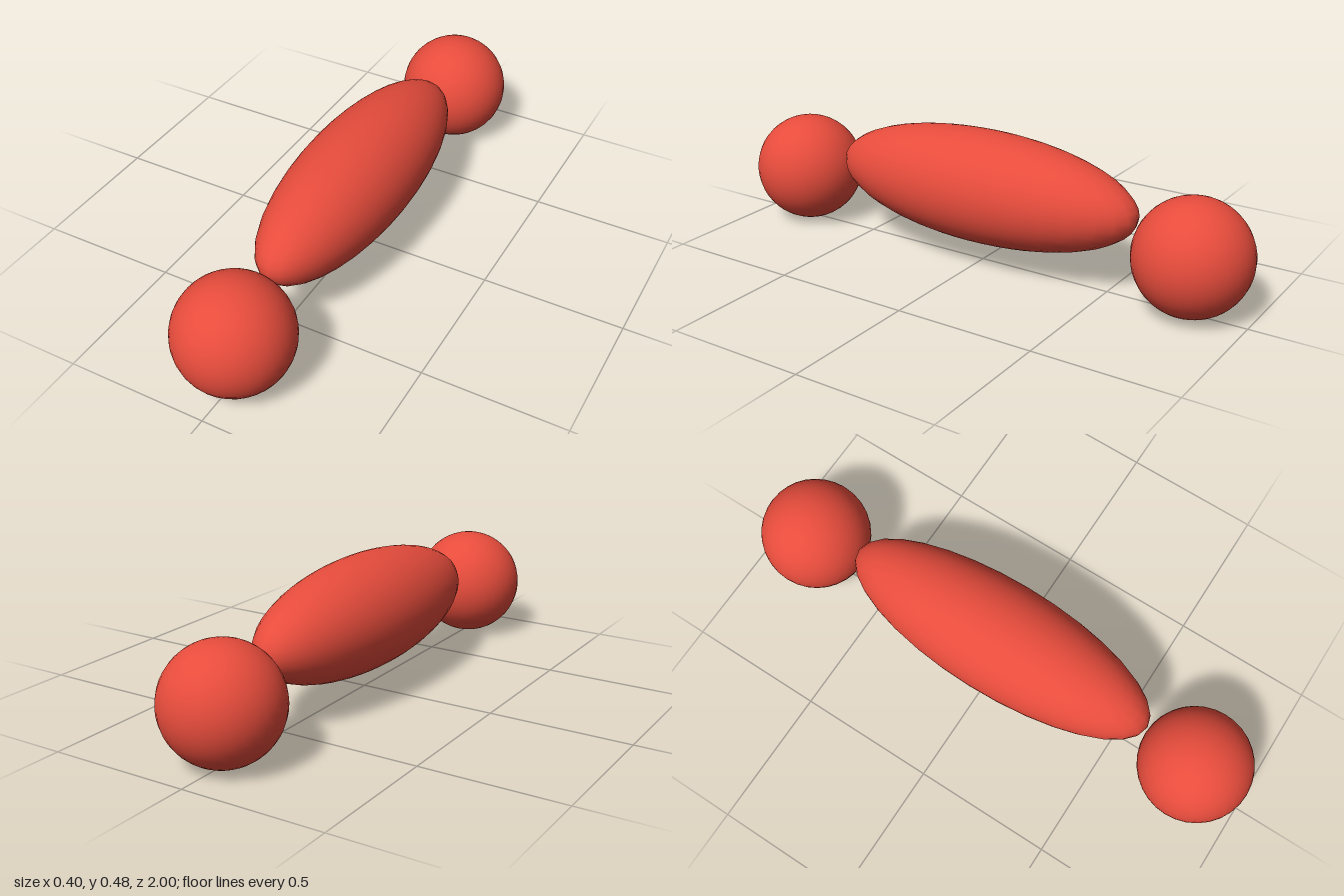
import * as THREE from 'three';

export function createModel() {
  const model = new THREE.Group();
  model.name = 'model';
  const red = new THREE.MeshStandardMaterial({ color: 0xe74c3c });
  red.name = 'red';

  const radius = 0.2;
  const ball = new THREE.SphereGeometry(radius, 32, 24);

  const add = (name, y, z, stretch = 1) => {
    const mesh = new THREE.Mesh(ball, red);
    mesh.name = name;
    mesh.position.set(0, y, z);
    mesh.scale.z = stretch;
    model.add(mesh);
  };

  // Long raised body, stretched three times along z
  add('body', 0.28, 0, 3);

  // Round balls touching the ground at each end
  add('frontBall', radius, 0.8);
  add('backBall', radius, -0.8);

  return model;
}
